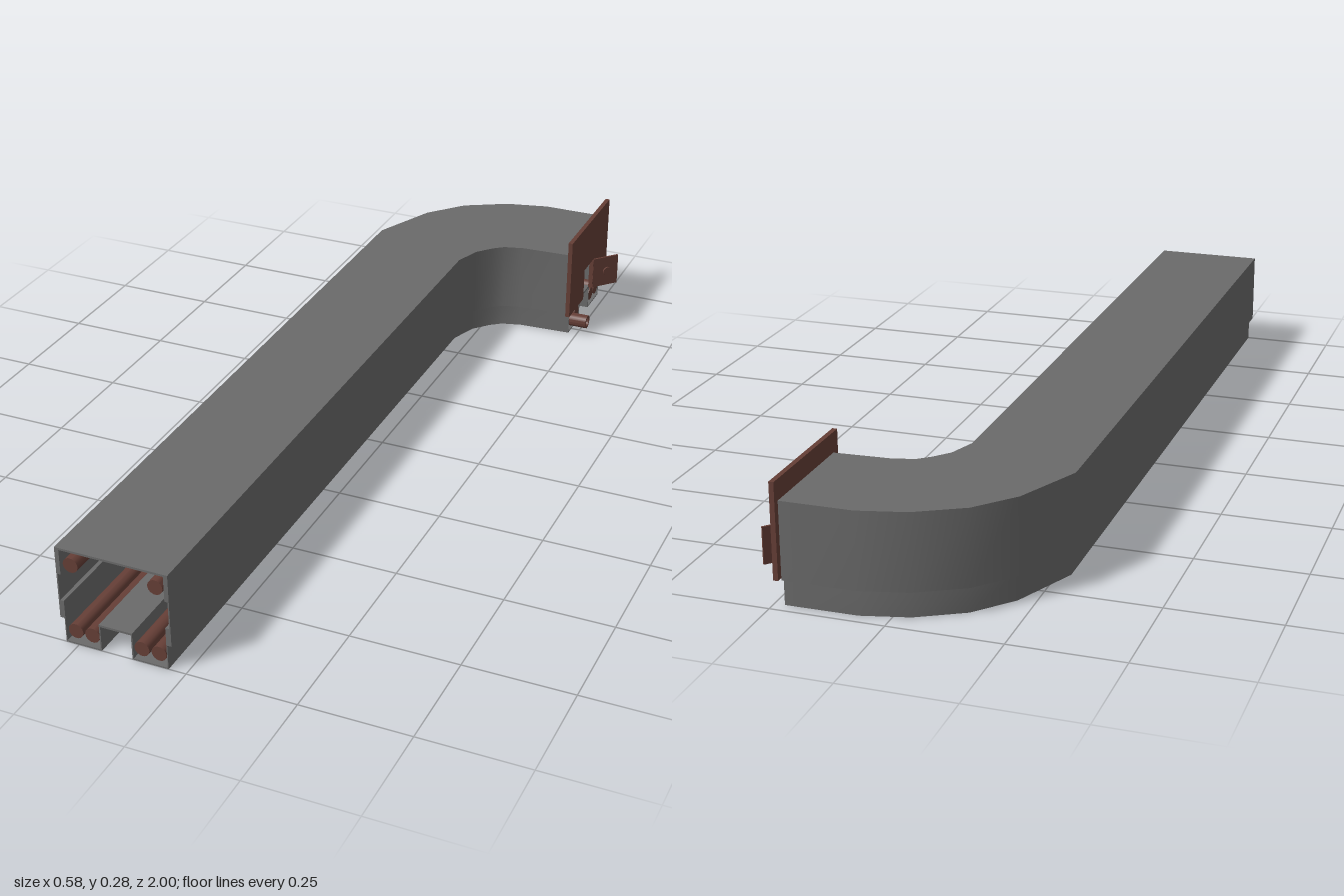
import * as THREE from 'three';
import { toCreasedNormals } from 'three/addons/utils/BufferGeometryUtils.js';

// Stations along the duct: [outer x, outer z, inner x, inner z]
const stations = [
  [-0.29, 1, -0.03, 1],
  [-0.288, -0.661, -0.03, -0.571],
  [-0.22, -0.815, -0.008, -0.635],
  [-0.145, -0.9, 0.024, -0.672],
  [-0.04, -0.958, 0.05, -0.693],
  [0.066, -0.984, 0.098, -0.706],
  [0.227, -0.985, 0.227, -0.713],
];
const WIDTH = 0.26;

// Sweeps a section (s across the duct, y up) along the stations and caps both ends.
// The outline runs anticlockwise, the optional hole clockwise.
function sweep(outline, hole = []) {
  const loops = hole.length ? [outline, hole] : [outline];
  const all = loops.flat();
  const n = all.length;
  const positions = [];
  const index = [];
  for (const [ox, oz, ix, iz] of stations) {
    for (const p of all) {
      const t = p.x / WIDTH + 0.5;
      positions.push(ox + (ix - ox) * t, p.y, oz + (iz - oz) * t);
    }
  }
  for (let i = 0; i < stations.length - 1; i++) {
    let start = 0;
    for (const loop of loops) {
      for (let j = 0; j < loop.length; j++) {
        const a = i * n + start + j;
        const b = i * n + start + ((j + 1) % loop.length);
        index.push(a, a + n, b + n, a, b + n, b);
      }
      start += loop.length;
    }
  }
  const last = (stations.length - 1) * n;
  for (const [a, b, c] of THREE.ShapeUtils.triangulateShape(outline, hole.length ? [hole] : [])) {
    index.push(a, b, c, last + a, last + c, last + b);
  }
  const geometry = new THREE.BufferGeometry();
  geometry.setAttribute('position', new THREE.Float32BufferAttribute(positions, 3));
  geometry.setIndex(index);
  return toCreasedNormals(geometry, 0.65);
}

// Mirrors a right half, listed from bottom centre to top centre, into an anticlockwise loop.
function mirrored(half) {
  const right = half.map(([x, y]) => new THREE.Vector2(x, y));
  const left = half.map(([x, y]) => new THREE.Vector2(-x, y)).reverse();
  return [...right, ...left];
}

function circle(cx, cy, r, sides = 14) {
  return Array.from({ length: sides }, (_, i) => {
    const a = (i / sides) * Math.PI * 2;
    return new THREE.Vector2(cx + r * Math.cos(a), cy + r * Math.sin(a));
  });
}

export function createModel() {
  const model = new THREE.Group();
  const grey = new THREE.MeshStandardMaterial({ color: 0x6a6a6a });
  grey.name = 'duct grey';
  const brown = new THREE.MeshStandardMaterial({ color: 0x653e36 });
  brown.name = 'rust brown';

  function add(name, geometry, material, parent = model) {
    const mesh = new THREE.Mesh(geometry, material);
    mesh.name = name;
    parent.add(mesh);
    return mesh;
  }

  // Hollow duct with two troughs either side of the slot underneath
  const outside = mirrored([
    [0.036, 0.068], [0.036, 0.008], [0.12, 0.008], [0.12, 0.067], [0.13, 0.067], [0.13, 0.24],
  ]);
  const inside = mirrored([
    [0.039, 0.073], [0.039, 0.011], [0.118, 0.011], [0.118, 0.11],
    [0.127, 0.11], [0.127, 0.175], [0.12, 0.175], [0.12, 0.235],
  ]).reverse();
  add('duct', sweep(outside, inside), grey);

  // Rods running the whole length: two under the roof, two in each trough
  const rods = [[-0.095, 0.204], [0.1, 0.204], [-0.095, 0.041], [-0.056, 0.041], [0.06, 0.041], [0.1, 0.041]];
  rods.forEach(([s, y], i) => add('rod' + (i + 1), sweep(circle(s, y, 0.0175)), brown));

  // Hollow rod end sticking out below the end plate
  const sleeve = [[0.011, 0], [0.0175, 0], [0.0175, 0.046], [0.011, 0.046], [0.011, 0]]
    .map(([x, y]) => new THREE.Vector2(x, y));
  const rodEnd = add('rodEnd', toCreasedNormals(new THREE.LatheGeometry(sleeve, 16), 0.6), brown);
  rodEnd.rotation.z = -Math.PI / 2;
  rodEnd.position.set(0.227, 0.041, -0.742);

  // End plate with a notch for the opening
  const plate = new THREE.Shape([
    [0.69, 0.072], [0.807, 0.072], [0.807, 0.158], [0.882, 0.158],
    [0.882, 0.072], [1, 0.072], [1, 0.285], [0.69, 0.285],
  ].map(([x, y]) => new THREE.Vector2(x, y)));
  const plateGeometry = new THREE.ExtrudeGeometry(plate, { depth: 0.011, bevelEnabled: false });
  plateGeometry.rotateY(Math.PI / 2);
  plateGeometry.translate(0.227, 0, 0);
  add('endPlate', plateGeometry, brown);

  // Flap hinged open beside the notch, with a small knob through it
  const flap = new THREE.Group();
  flap.name = 'flap';
  flap.position.set(0.237, 0.115, -0.884);
  flap.rotation.y = 0.82;
  model.add(flap);
  const panel = add('flapPanel', new THREE.BoxGeometry(0.075, 0.083, 0.005), brown, flap);
  panel.position.x = 0.0375;
  const knob = add('flapKnob', new THREE.CylinderGeometry(0.012, 0.012, 0.014, 12), brown, flap);
  knob.rotation.x = Math.PI / 2;
  knob.position.x = 0.042;

  return model;
}
